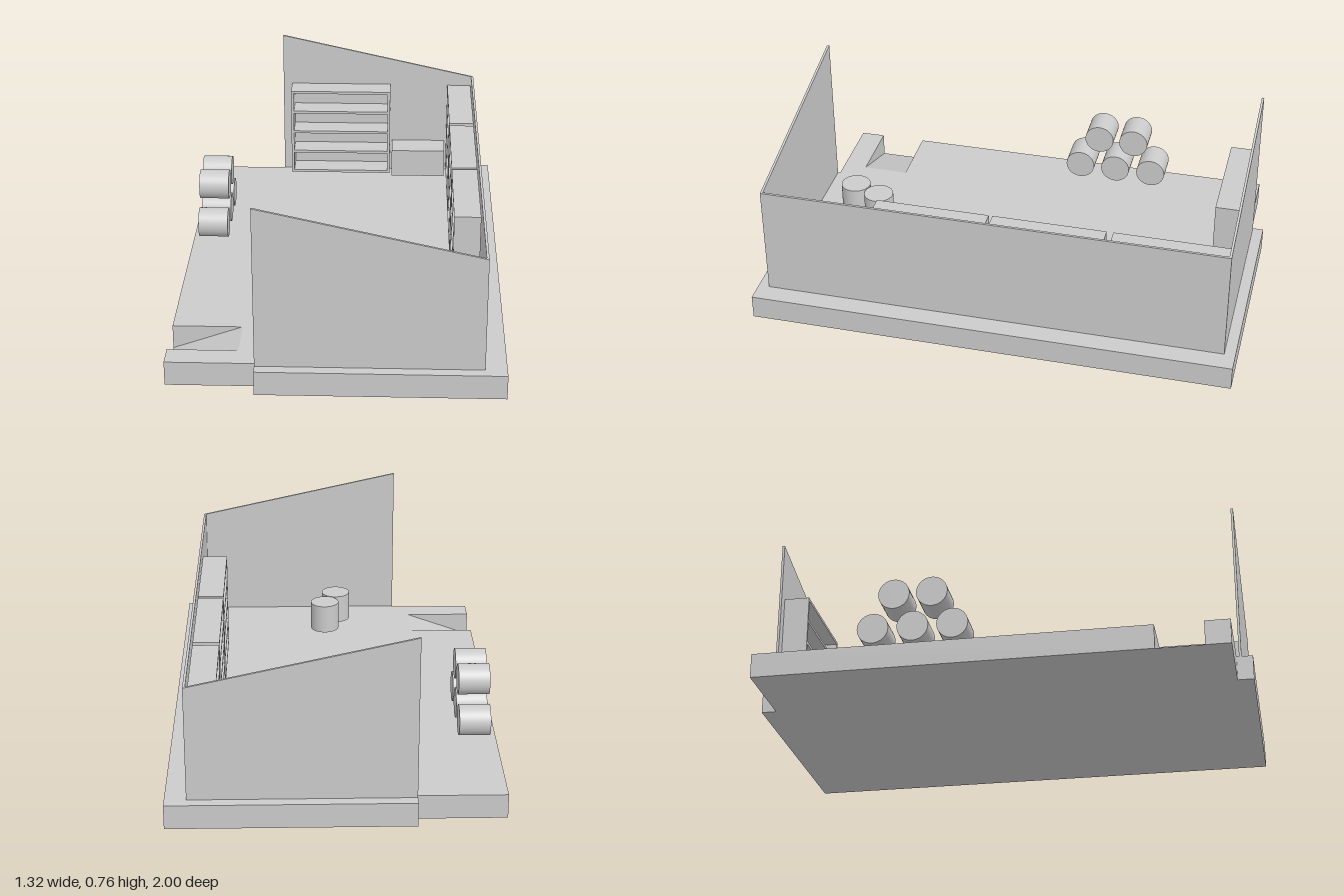
import * as THREE from 'three';

const FLOOR = 0.1;
const LIFT = 0.123; // underside of the furniture and barrels
const material = new THREE.MeshStandardMaterial({ color: 0xcccccc });

function add(parent, name, geometry, x = 0, y = 0, z = 0) {
  const mesh = new THREE.Mesh(geometry, material);
  mesh.name = name;
  mesh.position.set(x, y, z);
  parent.add(mesh);
  return mesh;
}

// Box given by its minimum and maximum corners
function addBox(parent, name, [x0, y0, z0], [x1, y1, z1]) {
  return add(parent, name, new THREE.BoxGeometry(x1 - x0, y1 - y0, z1 - z0),
    (x0 + x1) / 2, (y0 + y1) / 2, (z0 + z1) / 2);
}

function extrude(points, depth) {
  const shape = new THREE.Shape(points.map(([x, y]) => new THREE.Vector2(x, y)));
  return new THREE.ExtrudeGeometry(shape, { depth, bevelEnabled: false });
}

// Open shelf unit: two end panels and five boards, open along z or x
function addShelf(parent, name, x0, x1, z0, z1, alongX) {
  const unit = new THREE.Group();
  unit.name = name;
  parent.add(unit);
  const top = 0.53, t = 0.012, boards = 5;
  if (alongX) {
    addBox(unit, 'endPanel', [x0, LIFT, z0], [x0 + t, top, z1]);
    addBox(unit, 'endPanel', [x1 - t, LIFT, z0], [x1, top, z1]);
  } else {
    addBox(unit, 'endPanel', [x0, LIFT, z0], [x1, top, z0 + t]);
    addBox(unit, 'endPanel', [x0, LIFT, z1 - t], [x1, top, z1]);
  }
  const ix = alongX ? t : 0, iz = alongX ? 0 : t;
  for (let i = 0; i < boards; i++) {
    const y = LIFT + (top - t - LIFT) * i / (boards - 1);
    addBox(unit, 'board', [x0 + ix, y, z0 + iz], [x1 - ix, y + t, z1 - iz]);
  }
}

export function createModel() {
  const model = new THREE.Group();
  model.name = 'storageShed';

  // Floor slab with a narrower apron and a notch for the ramp
  const slab = extrude([
    [-0.31, -1], [0.66, -1], [0.66, 1], [-0.31, 1], [-0.31, 0.935], [-0.66, 0.935],
    [-0.66, 0.835], [-0.38, 0.835], [-0.38, 0.645], [-0.66, 0.645], [-0.66, -0.94], [-0.31, -0.94],
  ], FLOOR);
  slab.rotateX(Math.PI / 2);
  add(model, 'floorSlab', slab, 0, FLOOR, 0);

  // Ramp sloping down to the open edge
  add(model, 'ramp', extrude([[-0.66, 0], [-0.38, 0], [-0.38, FLOOR]], 0.19), 0, 0, 0.645);

  // Two sloping end walls and the low long wall
  const wall = 0.01;
  const endWall = extrude([[-0.31, FLOOR], [0.575, FLOOR], [0.575, 0.57], [-0.31, 0.765]], wall);
  add(model, 'endWall', endWall, 0, 0, -0.955);
  add(model, 'endWall', endWall, 0, 0, 0.955 - wall);
  addBox(model, 'longWall', [0.575 - wall, FLOOR, -0.945], [0.575, 0.57, 0.945]);

  // Shelves along the long wall and the rear end wall
  for (const [z0, z1] of [[-0.94, -0.472], [-0.445, 0.02], [0.035, 0.502]]) {
    addShelf(model, 'longWallShelf', 0.455, 0.562, z0, z1, false);
  }
  addShelf(model, 'endWallShelf', -0.27, 0.19, -0.944, -0.838, true);

  // Low chest in the corner
  addBox(model, 'chest', [0.2, LIFT, -0.94], [0.445, 0.25, -0.81]);

  // Barrels: a stacked row lying down, and two standing
  const r = 0.063;
  const barrel = new THREE.CylinderGeometry(r, r, 0.127, 40);
  const lying = barrel.clone().rotateZ(Math.PI / 2);
  const lowerY = LIFT + r, upperY = 0.33;
  for (const z of [-0.462, -0.302, -0.143]) add(model, 'lyingBarrel', lying, -0.568, lowerY, z);
  for (const z of [-0.38, -0.227]) add(model, 'lyingBarrel', lying, -0.568, upperY, z);
  for (const [x, z] of [[0.017, 0.643], [-0.035, 0.762]]) {
    add(model, 'standingBarrel', barrel, x, LIFT + 0.0635, z);
  }
  return model;
}
